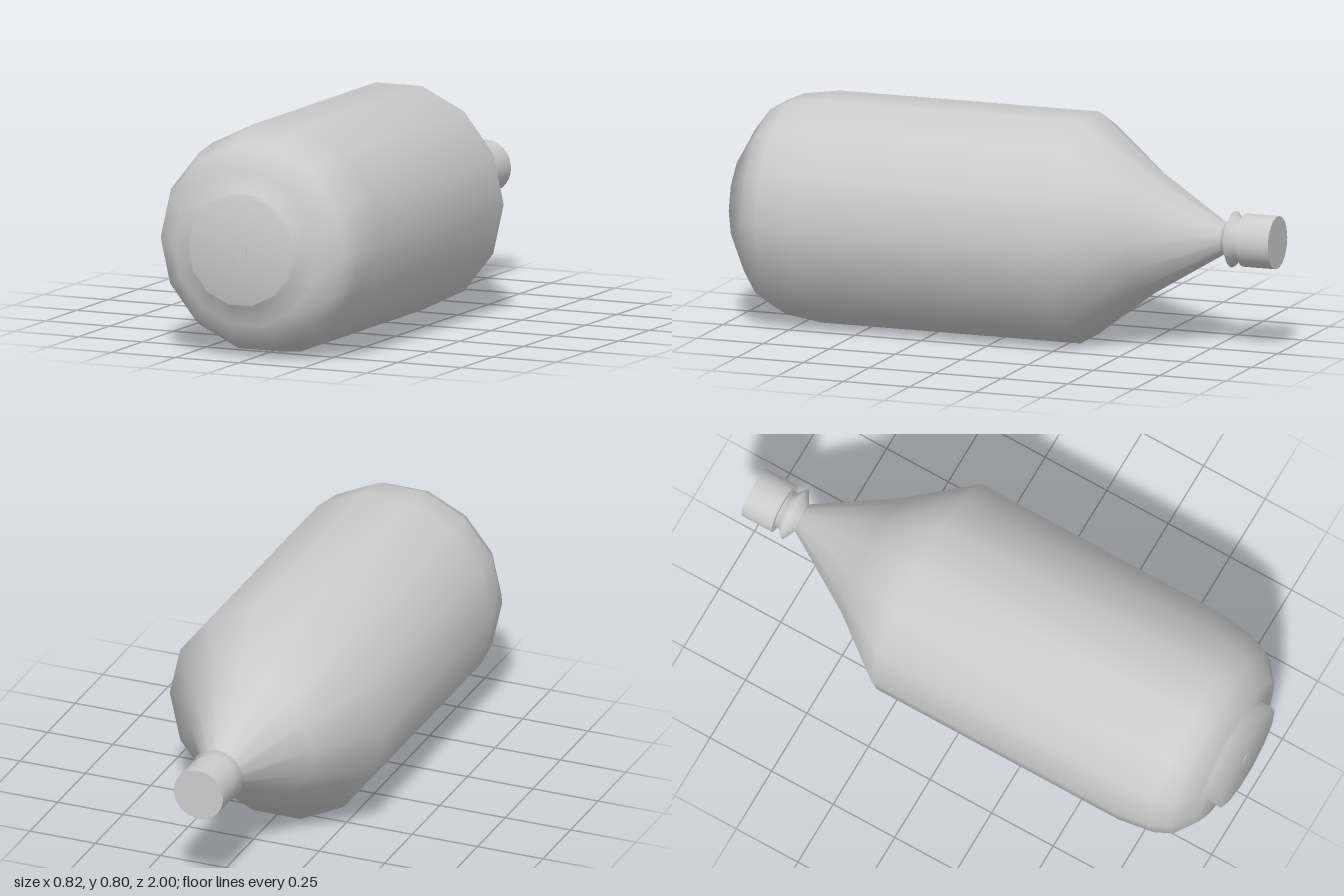
import * as THREE from 'three';

const AXIS_Y = 0.4; // height of the bottle's long axis

export function createModel() {
  const group = new THREE.Group();
  const material = new THREE.MeshStandardMaterial({ color: 0xcccccc, side: THREE.DoubleSide });

  const add = (name, geometry) => {
    const mesh = new THREE.Mesh(geometry, material);
    mesh.name = name;
    group.add(mesh);
  };

  // Revolve [radius, z] pairs, listed front to back, around the long axis
  const revolve = (profile, sides) => {
    const points = profile.map(([r, z]) => new THREE.Vector2(r, -z));
    return new THREE.LatheGeometry(points, sides, Math.PI / 2)
      .rotateX(-Math.PI / 2)
      .translate(0, AXIS_Y, 0);
  };

  // Solid disc or cylinder lying along z
  const drum = (radius, front, back) =>
    new THREE.CylinderGeometry(radius, radius, front - back, 28)
      .rotateX(-Math.PI / 2)
      .translate(0, AXIS_Y, (front + back) / 2);

  // Fourteen-sided body: raised foot, rounded base, straight wall, shoulder
  add('bottleBody', revolve([
    [0, 0.998], [0.2, 0.998], [0.2, 0.95], [0.28, 0.95], [0.36, 0.888],
    [0.39, 0.825], [0.41, 0.69], [0.41, -0.29], [0.235, -0.515], [0.055, -0.805],
  ], 14));

  // Small round mark at the centre of the foot
  add('baseButton', drum(0.028, 1, 0.99));

  // Neck with its flared collar ring
  add('neckCollar', revolve([
    [0.053, -0.8], [0.055, -0.81], [0.1, -0.835], [0.07, -0.863], [0.07, -0.89],
  ], 28));

  // Flat-ended cap
  add('cap', drum(0.094, -0.878, -1));

  return group;
}
